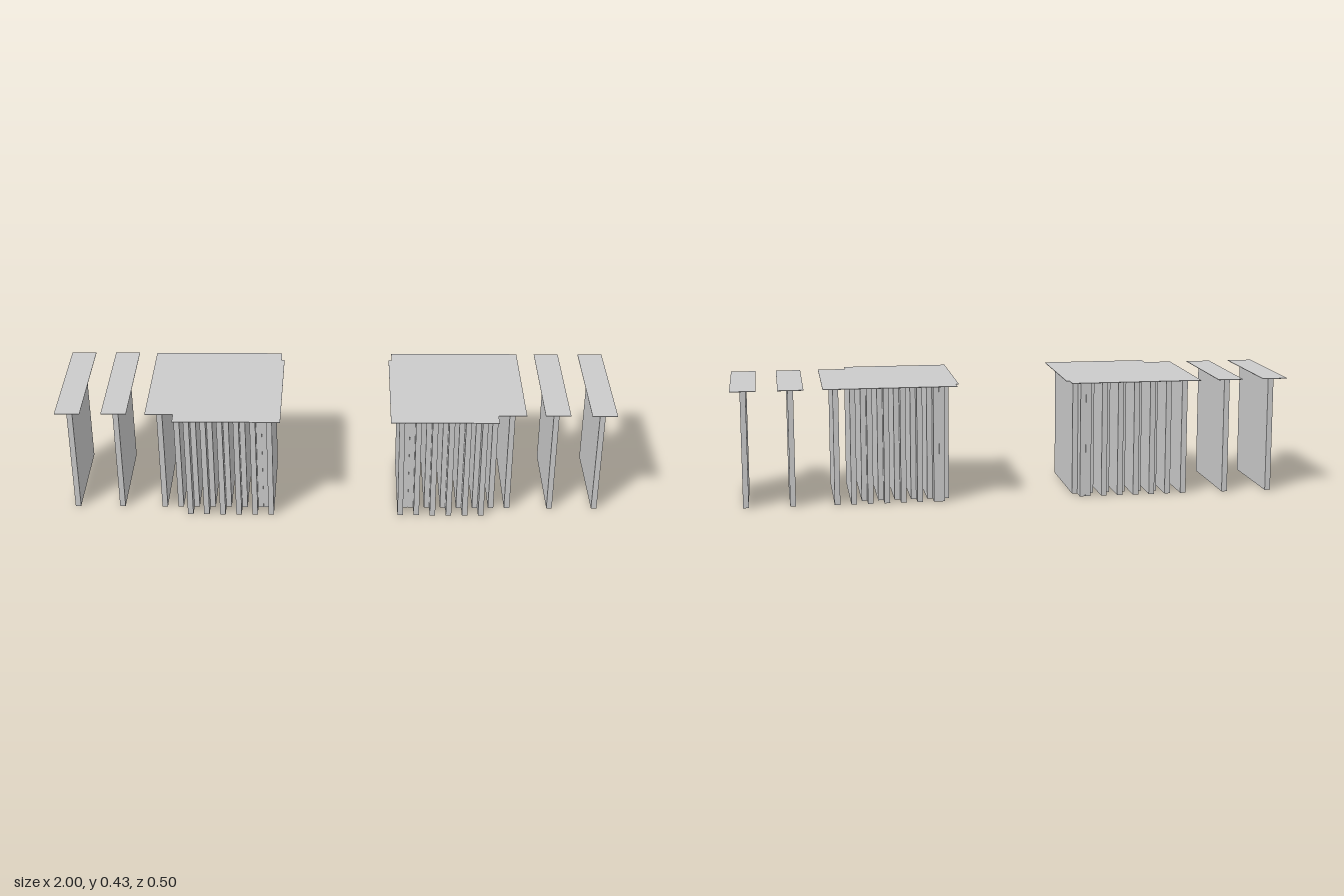
import * as THREE from 'three';

const HEIGHT = 0.426;
const CAP = 0.002;      // cap plate thickness
const WALL = 0.02;      // panel thickness
const LENGTH = 0.356;   // panel depth along z
const PITCH = 0.0592;   // spacing of the closely set panels

export function createModel() {
  const model = new THREE.Group();
  const material = new THREE.MeshStandardMaterial({ color: 0xcccccc, flatShading: true });

  const panelGeometry = new THREE.BoxGeometry(WALL, HEIGHT - CAP, LENGTH);
  const addPanel = (group, name, x, z) => {
    const panel = new THREE.Mesh(panelGeometry, material);
    panel.name = name;
    panel.position.set(x, (HEIGHT - CAP) / 2, z);
    group.add(panel);
  };

  // Flat cap plate from an outline of [x, z] points
  const addCap = (group, name, points) => {
    const shape = new THREE.Shape(points.map(([x, z]) => new THREE.Vector2(x, -z)));
    const geometry = new THREE.ExtrudeGeometry(shape, { depth: CAP, bevelEnabled: false });
    geometry.rotateX(-Math.PI / 2);
    const cap = new THREE.Mesh(geometry, material);
    cap.name = name;
    cap.position.y = HEIGHT - CAP;
    group.add(cap);
  };

  for (const side of [1, -1]) {
    const bank = new THREE.Group();
    bank.name = side > 0 ? 'leftBank' : 'rightBank';

    // Rear row: the close set plus one extra innermost panel
    for (let i = 0; i < 7; i++) addPanel(bank, 'rearPanel', side * (0.632 - i * PITCH), -0.024);
    addPanel(bank, 'innerRearPanel', side * 0.2565, -0.024);

    // Front row, shifted forward and sitting beside the rear panels
    for (let i = 0; i < 6; i++) addPanel(bank, 'frontPanel', side * (0.533 - i * PITCH), 0.0255);

    // Shared cap with stepped corners where the two rows are offset
    addCap(bank, 'sharedCap', [
      [0.206, -0.251], [0.678, -0.251], [0.678, 0.2], [0.577, 0.2],
      [0.577, 0.251], [0.195, 0.251], [0.195, -0.2], [0.206, -0.2],
    ].map(([x, z]) => [side * x, z]));

    // Two freestanding panels with their own narrow caps
    for (const x of [0.789, 0.954]) {
      addPanel(bank, 'outerPanel', side * x, -0.024);
      addCap(bank, 'outerCap', [
        [x - 0.045, -0.251], [x + 0.045, -0.251], [x + 0.045, 0.2], [x - 0.045, 0.2],
      ].map(([px, z]) => [side * px, z]));
    }
    model.add(bank);
  }
  model.position.x = -0.001;
  return model;
}
